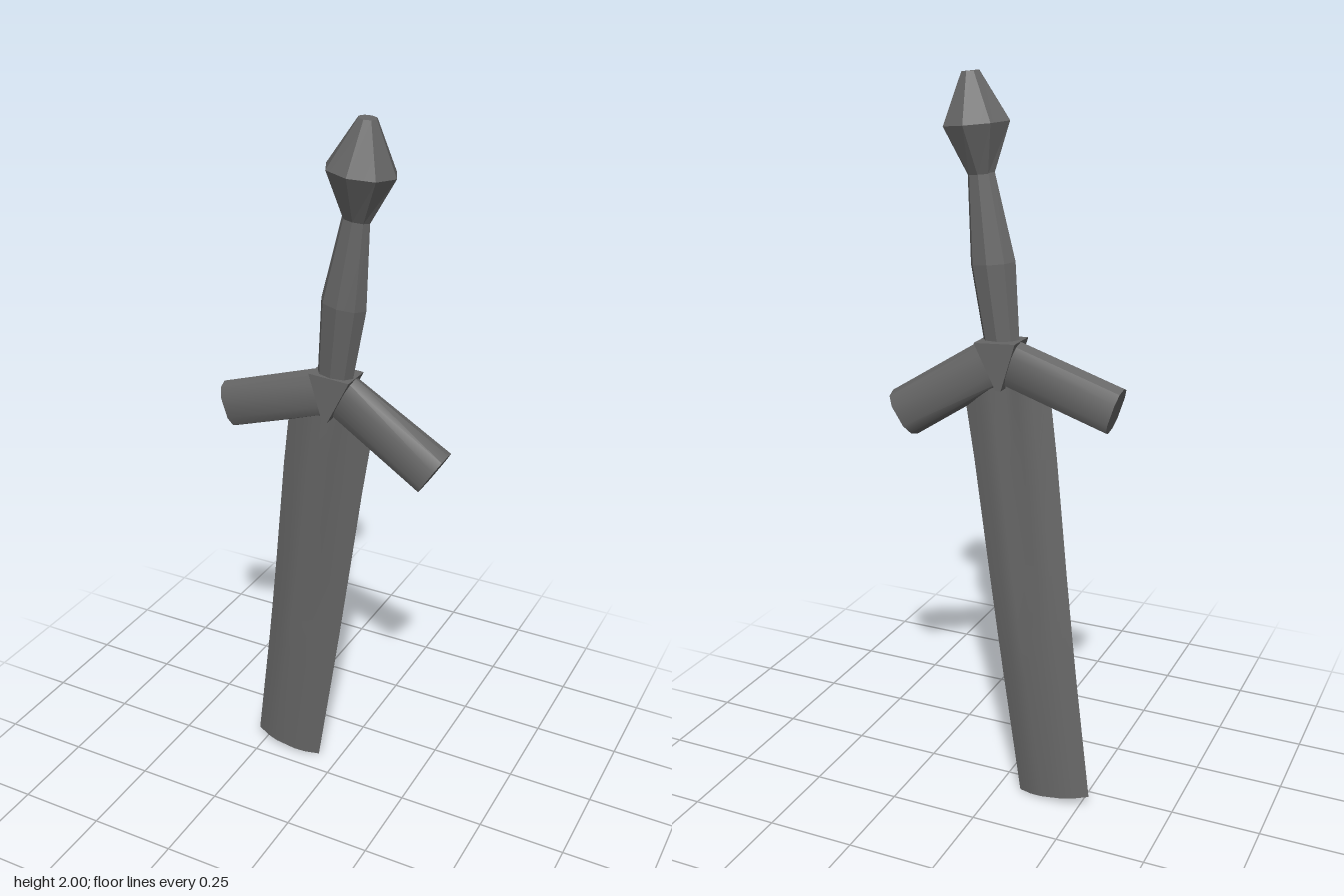
import * as THREE from 'three';
import { toCreasedNormals } from 'three/addons/utils/BufferGeometryUtils.js';

const material = new THREE.MeshStandardMaterial({ color: 0x666666 });

// Closed octagonal section: [across, depth] in unit size
const octagon = Array.from({ length: 8 }, (_, i) => {
  const a = (i / 8) * Math.PI * 2;
  return [Math.cos(a), Math.sin(a)];
});
// Guard arm section: flat faces with chamfered corners
const armSection = [[1, 0], [0.85, 0.65], [0.45, 1], [-0.45, 1], [-0.85, 0.65], [-1, 0],
  [-0.85, -0.65], [-0.45, -1], [0.45, -1], [0.85, -0.65]];
// Lens-shaped blade section; the middle sinks by the fuller depth
const bladeSection = (fuller) => {
  const side = [[1, 0], [0.62, 0.7], [0.3, 1], [0, 1 - fuller], [-0.3, 1], [-0.62, 0.7]];
  return [...side, ...side.map(([u, v]) => [-u, -v])];
};

// Lofts a section through stations [x, y, z, halfWidth, halfDepth], square to the axis (ax, ay)
function loft(name, [ax, ay], stations, section, crease) {
  const len = Math.hypot(ax, ay), ux = -ay / len, uy = ax / len;
  const positions = [], index = [];
  let n = 0;
  stations.forEach(([x, y, z, w, d], s) => {
    const ring = typeof section === 'function' ? section(s) : section;
    n = ring.length;
    for (const [u, v] of ring) positions.push(x + ux * u * w, y + uy * u * w, z + v * d);
  });
  for (let s = 0; s < stations.length - 1; s++) {
    for (let i = 0; i < n; i++) {
      const a = s * n + i, b = s * n + (i + 1) % n;
      index.push(a, b, b + n, a, b + n, a + n);
    }
  }
  // End caps
  const last = stations.length - 1;
  for (const s of [0, last]) {
    const c = positions.length / 3;
    positions.push(...stations[s].slice(0, 3));
    for (let i = 0; i < n; i++) {
      const a = s * n + i, b = s * n + (i + 1) % n;
      if (s) index.push(c, a, b);
      else index.push(c, b, a);
    }
  }
  const geometry = new THREE.BufferGeometry();
  geometry.setAttribute('position', new THREE.Float32BufferAttribute(positions, 3));
  geometry.setIndex(index);
  const mesh = new THREE.Mesh(toCreasedNormals(geometry, crease), material);
  mesh.name = name;
  return mesh;
}

export function createModel() {
  const model = new THREE.Group();
  model.name = 'sword';

  // Blade, cut off square, with a fuller fading out towards the end
  const fullers = [0, 0, 0.15, 0.4, 0.5, 0.5];
  model.add(loft('blade', [0.175, 1.235], [
    [-0.17, 0.018, -0.068, 0.106, 0.024],
    [-0.117, 0.38, -0.058, 0.111, 0.027],
    [-0.1, 0.5, -0.054, 0.113, 0.026],
    [-0.075, 0.68, -0.047, 0.116, 0.024],
    [-0.03, 1.0, -0.03, 0.122, 0.023],
    [0.005, 1.24, -0.025, 0.126, 0.023],
  ], (s) => bladeSection(fullers[s]), 0.7));

  // Drooping guard arms
  const arms = new THREE.Group();
  arms.name = 'guard';
  arms.add(loft('leftGuardArm', [0.265, -0.17], [
    [0.03, 1.263, -0.025, 0.066, 0.037],
    [0.298, 1.091, -0.032, 0.069, 0.048],
  ], armSection, 0.65));
  arms.add(loft('rightGuardArm', [-0.29, -0.094], [
    [-0.015, 1.263, -0.026, 0.066, 0.038],
    [-0.311, 1.167, -0.027, 0.066, 0.04],
  ], armSection, 0.65));

  // Wedge block joining the arms
  const wedge = new THREE.Shape([
    new THREE.Vector2(-0.045, 1.325), new THREE.Vector2(-0.005, 1.195),
    new THREE.Vector2(0.01, 1.195), new THREE.Vector2(0.072, 1.318),
  ]);
  const wedgeGeometry = new THREE.ExtrudeGeometry(wedge, { depth: 0.09, bevelEnabled: false });
  wedgeGeometry.translate(0, 0, -0.069);
  const block = new THREE.Mesh(wedgeGeometry, material);
  block.name = 'guardBlock';
  arms.add(block);
  model.add(arms);

  // Faceted grip swelling in the middle
  model.add(loft('grip', [0.12, 1], [
    [0.013, 1.3, -0.016, 0.05, 0.03],
    [0.043, 1.52, -0.007, 0.064, 0.042],
    [0.079, 1.75, 0, 0.038, 0.021],
  ], octagon, 0.1));

  // Faceted pommel
  model.add(loft('pommel', [0.1, 1], [
    [0.079, 1.745, 0, 0.038, 0.022],
    [0.096, 1.87, 0.01, 0.094, 0.082],
    [0.113, 1.997, 0.013, 0.024, 0.024],
  ], octagon, 0.1));

  return model;
}
